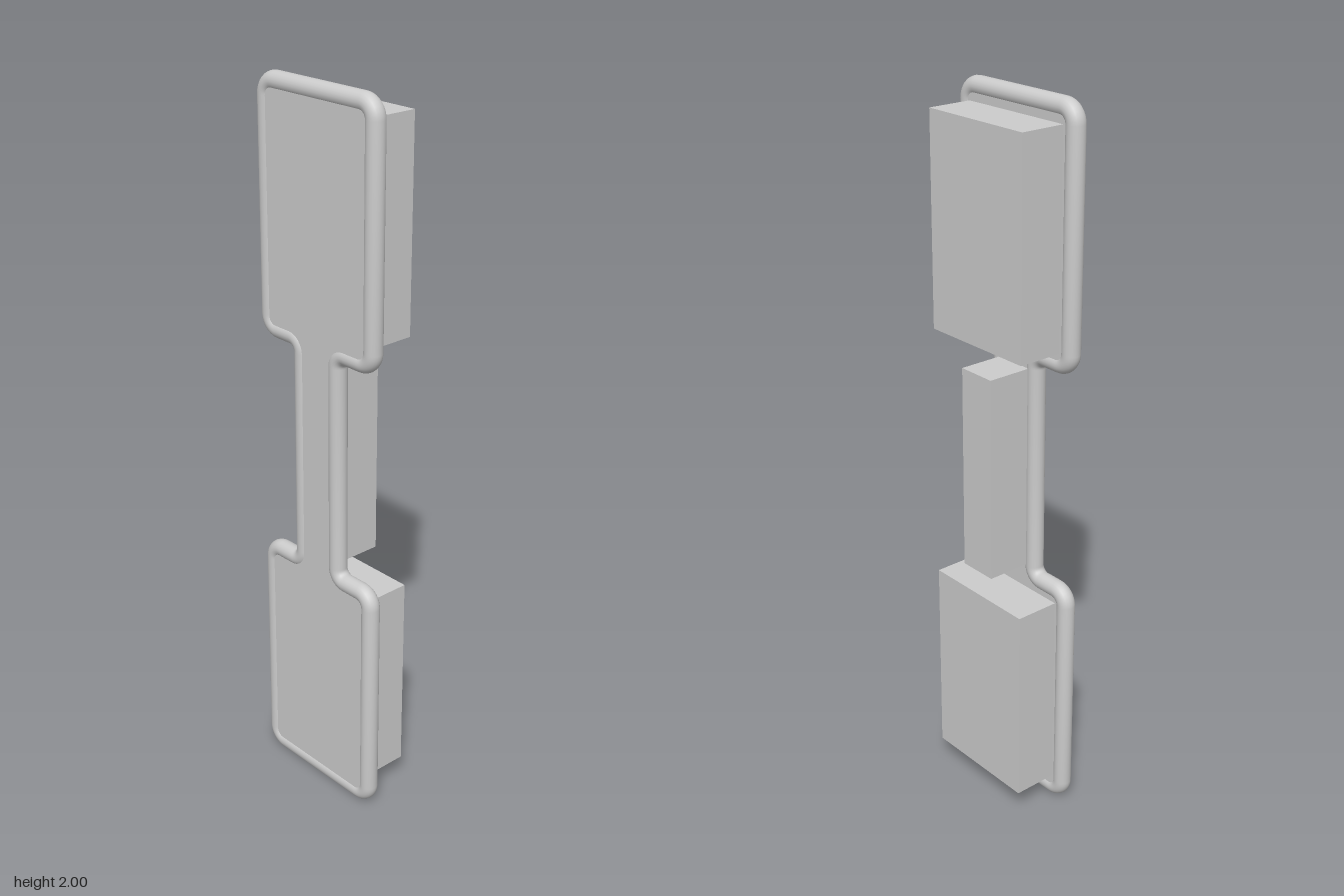
import * as THREE from 'three';

const material = new THREE.MeshStandardMaterial({ color: 0xcccccc });
const RIM_Z = 0.06, RIM_RADIUS = 0.025, CORNER = 0.037;

// Dumbbell outline with every corner rounded by the same radius
function outline() {
  const half = [[0.195, 0.025], [0.195, 0.675], [0.066, 0.675], [0.066, 1.33], [0.195, 1.33], [0.195, 1.975]];
  const corners = [...half, ...half.map(([x, y]) => [-x, y]).reverse()].map(([x, y]) => new THREE.Vector2(x, y));
  const shape = new THREE.Shape();
  shape.moveTo(0, 0.025);
  corners.forEach((c, i) => {
    const prev = corners.at(i - 1), next = corners[(i + 1) % corners.length];
    const toPrev = prev.clone().sub(c).normalize(), toNext = next.clone().sub(c).normalize();
    const at = (dir, d) => c.clone().addScaledVector(dir, d);
    const a = at(toPrev, CORNER), b = at(toNext, CORNER);
    const h1 = at(toPrev, CORNER * 0.448), h2 = at(toNext, CORNER * 0.448);
    shape.lineTo(a.x, a.y);
    shape.bezierCurveTo(h1.x, h1.y, h2.x, h2.y, b.x, b.y);
  });
  shape.lineTo(0, 0.025);
  return shape;
}

// Path that places one tube ring exactly on each outline point
class PointPath extends THREE.Curve {
  constructor(points) {
    super();
    this.points = points;
  }
  getPoint(t, target = new THREE.Vector3()) {
    const n = this.points.length - 1;
    const i = Math.min(Math.floor(t * n + 1e-9), n - 1);
    return target.lerpVectors(this.points[i], this.points[i + 1], t * n - i);
  }
  getPointAt(u, target) { return this.getPoint(u, target); }
  getTangentAt(u, target = new THREE.Vector3()) {
    const n = this.points.length - 1, i = Math.round(u * n);
    const dir = (k) => this.points[k + 1].clone().sub(this.points[k]).normalize();
    return target.copy(dir(Math.max(i - 1, 0))).add(dir(Math.min(i, n - 1))).normalize();
  }
}

export function createModel() {
  const group = new THREE.Group();
  const add = (name, geometry, x = 0, y = 0, z = 0) => {
    const mesh = new THREE.Mesh(geometry, material);
    mesh.name = name;
    mesh.position.set(x, y, z);
    group.add(mesh);
  };
  const shape = outline();

  // Face plate filling the rim
  add('facePlate', new THREE.ExtrudeGeometry(shape, { depth: 0.04, bevelEnabled: false, curveSegments: 8 }), 0, 0, RIM_Z - 0.02);

  // Round rim following the outline
  const points = shape.getPoints(8).map((p) => new THREE.Vector3(p.x, p.y, RIM_Z));
  add('rim', new THREE.TubeGeometry(new PointPath(points), points.length - 1, RIM_RADIUS, 20, true));

  // Three blocks behind the plate
  const back = -0.087, front = 0.05;
  const blocks = [['lowerBlock', 0.346, 0.07, 0.643], ['middleBlock', 0.114, 0.715, 1.29], ['upperBlock', 0.346, 1.365, 1.938]];
  for (const [name, width, y0, y1] of blocks) {
    add(name, new THREE.BoxGeometry(width, y1 - y0, front - back), 0, (y0 + y1) / 2, (front + back) / 2);
  }
  return group;
}
